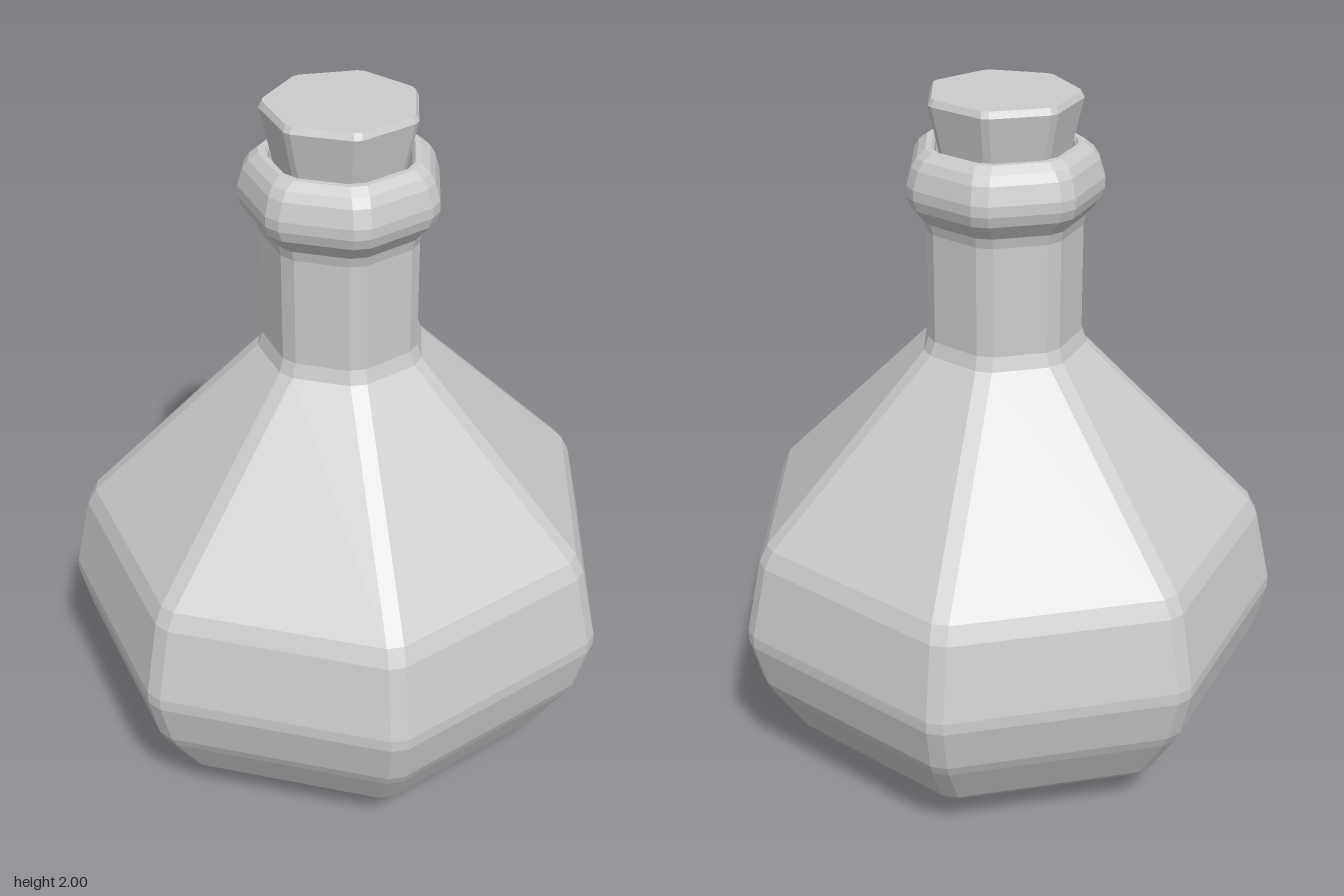
import * as THREE from 'three';

const SIDES = 7;
const CENTRE_Z = 0.032;

// One heptagonal ring with a corner pointing to -z; each corner is cut by a bevel.
function ring(radius, y, bevel) {
  const corner = (k) => {
    const a = (k / SIDES) * Math.PI * 2;
    return new THREE.Vector3(Math.sin(a) * radius, y, -Math.cos(a) * radius);
  };
  const edge = 2 * radius * Math.sin(Math.PI / SIDES);
  const t = radius > 0 ? Math.min(bevel / edge, 0.2) : 0;
  const points = [];
  for (let k = 0; k < SIDES; k++) {
    points.push(corner(k).lerp(corner(k - 1), t), corner(k).lerp(corner(k + 1), t));
  }
  return points;
}

// Joins the rings of a [radius, y] profile, running from the base centre upwards.
function facetedLathe(profile, bevel) {
  const rings = profile.map(([r, y]) => ring(r, y, bevel));
  const positions = [];
  const tri = (...pts) => pts.forEach((p) => positions.push(p.x, p.y, p.z));
  for (let j = 0; j < rings.length - 1; j++) {
    const low = rings[j];
    const up = rings[j + 1];
    for (let i = 0; i < low.length; i++) {
      const n = (i + 1) % low.length;
      if (profile[j + 1][0] > 0) tri(low[i], up[i], up[n]);
      if (profile[j][0] > 0) tri(low[i], up[n], low[n]);
    }
  }
  const geometry = new THREE.BufferGeometry();
  geometry.setAttribute('position', new THREE.Float32BufferAttribute(positions, 3));
  geometry.computeVertexNormals();
  return geometry;
}

export function createModel() {
  const group = new THREE.Group();
  group.name = 'corkedBottle';
  const material = new THREE.MeshStandardMaterial({ color: 0xcccccc, flatShading: true });

  const add = (name, profile, bevel) => {
    const mesh = new THREE.Mesh(facetedLathe(profile, bevel), material);
    mesh.name = name;
    mesh.position.z = CENTRE_Z;
    group.add(mesh);
  };

  // Bottle: foot, belly, shoulder, neck, bulging lip and the inside of the mouth
  add('bottle', [
    [0, 0], [0.435, 0], [0.447, 0.015], [0.485, 0.045],
    [0.643, 0.125], [0.67, 0.15],
    [0.762, 0.295], [0.78, 0.33],
    [0.815, 0.465], [0.815, 0.5],
    [0.768, 0.715], [0.742, 0.765],
    [0.247, 1.275], [0.233, 1.315],
    [0.233, 1.63], [0.241, 1.66],
    [0.279, 1.705], [0.289, 1.735], [0.289, 1.765],
    [0.274, 1.815], [0.258, 1.84], [0.232, 1.86],
    [0.214, 1.86], [0.206, 1.85], [0.206, 1.7], [0, 1.7],
  ], 0.026);

  // Cork: tapered stopper with a small bevel round its top
  add('cork', [
    [0, 1.72], [0.165, 1.72], [0.194, 1.86], [0.222, 1.982], [0.212, 2], [0, 2],
  ], 0.012);

  return group;
}
